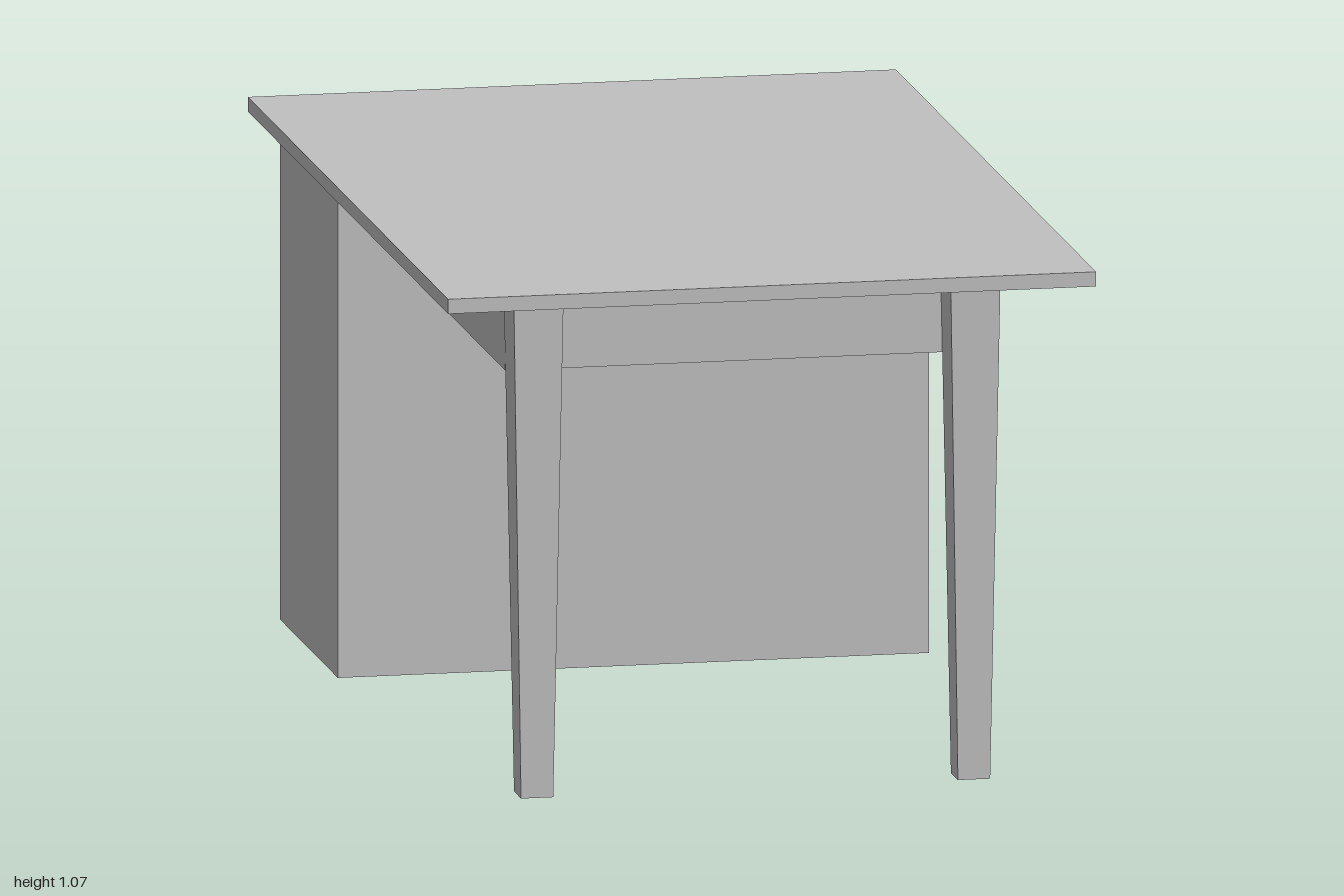
import * as THREE from 'three';

const grey = new THREE.MeshStandardMaterial({ color: 0xc0c0c0 });
grey.name = 'light grey';

// Closed solid through rectangles stacked along y: [height, x0, x1, z0, z1]
function loft(sections) {
  const pos = [];
  const loops = sections.map(([y, x0, x1, z0, z1]) =>
    [[x0, y, z1], [x1, y, z1], [x1, y, z0], [x0, y, z0]]);
  const quad = (a, b, c, d) => pos.push(...a, ...b, ...c, ...a, ...c, ...d);
  for (let s = 0; s < loops.length - 1; s++) {
    for (let i = 0; i < 4; i++) {
      const j = (i + 1) % 4;
      quad(loops[s][i], loops[s][j], loops[s + 1][j], loops[s + 1][i]);
    }
  }
  quad(...loops[loops.length - 1]);
  quad(...loops[0].slice().reverse());
  const geo = new THREE.BufferGeometry();
  geo.setAttribute('position', new THREE.Float32BufferAttribute(pos, 3));
  geo.computeVertexNormals();
  return geo;
}

// Box from its limits on each axis
function block(x0, x1, y0, y1, z0, z1) {
  return new THREE.BoxGeometry(x1 - x0, y1 - y0, z1 - z0)
    .translate((x0 + x1) / 2, (y0 + y1) / 2, (z0 + z1) / 2);
}

function rectangle(path, x0, x1, y0, y1) {
  return path.moveTo(x0, y0).lineTo(x1, y0).lineTo(x1, y1).lineTo(x0, y1).closePath();
}

// U-shaped pull standing out along +x
function handleGeometry() {
  const h = 0.088, depth = 0.07, t = 0.03;
  const shape = new THREE.Shape([
    [-h, 0], [-h + t, 0], [-h + t, depth - t], [h - t, depth - t],
    [h - t, 0], [h, 0], [h, depth], [-h, depth],
  ].map(([u, v]) => new THREE.Vector2(u, v)));
  const toSide = new THREE.Matrix4().makeBasis(
    new THREE.Vector3(0, 0, 1), new THREE.Vector3(1, 0, 0), new THREE.Vector3(0, 1, 0));
  return new THREE.ExtrudeGeometry(shape, { depth: 0.018, bevelEnabled: false })
    .translate(0, 0, -0.009).applyMatrix4(toSide);
}

export function createModel() {
  const desk = new THREE.Group();
  desk.name = 'desk';
  const add = (name, geometry) => {
    const mesh = new THREE.Mesh(geometry, grey);
    mesh.name = name;
    desk.add(mesh);
    return mesh;
  };

  add('desktop', block(-0.663, 0.663, 1.035, 1.065, -1, 1));

  // Cabinet body with a face frame around two sunken drawer fronts
  const face = 0.57, rim = 0.6;
  add('cabinetBody', block(-0.61, face, 0.005, 1.035, -0.94, -0.36));
  const frame = rectangle(new THREE.Shape(), 0.36, 0.94, 0.005, 1.035);
  for (const [y0, y1] of [[0.045, 0.485], [0.575, 0.99]]) {
    frame.holes.push(rectangle(new THREE.Path(), 0.385, 0.915, y0, y1));
  }
  add('cabinetFrame',
    new THREE.ExtrudeGeometry(frame, { depth: rim - face, bevelEnabled: false })
      .rotateY(Math.PI / 2).translate(face, 0, 0));

  // Wide drawer under the top, its front sunk behind a bevelled rim
  add('centreDrawer', loft([
    [-0.495, -1.035, -0.86, -0.36, 0.75],
    [0.495, -1.035, -0.86, -0.36, 0.75],
    [0.45, -1.02, -0.877, -0.333, 0.722],
  ]).rotateZ(-Math.PI / 2));

  // Drawer pulls
  const pull = handleGeometry();
  add('lowerDrawerHandle', pull).position.set(face, 0.199, -0.65);
  add('upperDrawerHandle', pull).position.set(face, 0.675, -0.65);
  add('centreDrawerHandle', pull).position.set(0.453, 0.948, 0.195);

  // Tapered legs
  for (const [name, side] of [['leftLeg', 1], ['rightLeg', -1]]) {
    add(name, loft([
      [0, -0.033, 0.033, -0.035, 0.035],
      [1.035, -0.051, 0.051, -0.051, 0.051],
    ])).position.set(side * 0.447, 0, 0.8);
  }
  return desk;
}
